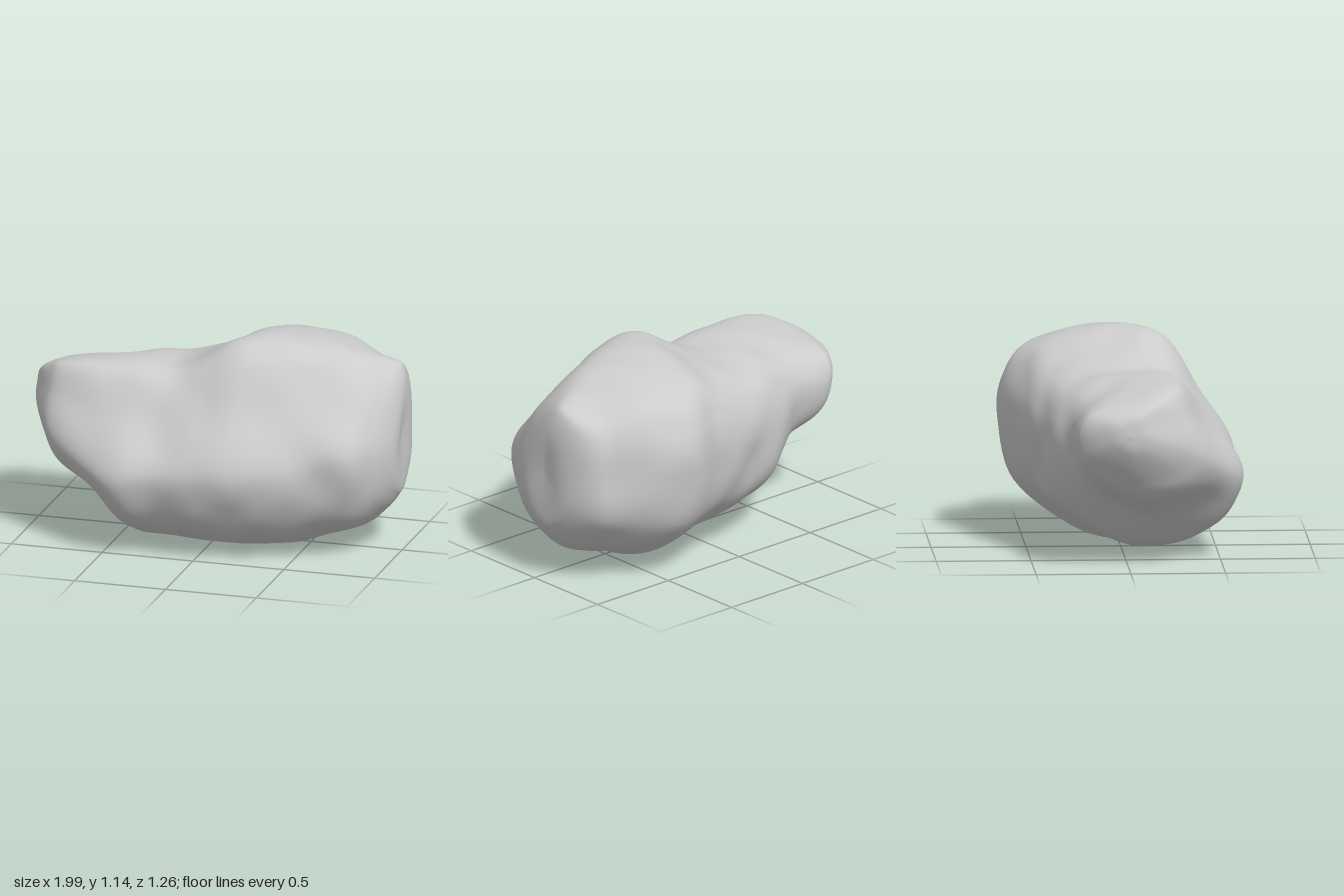
import * as THREE from 'three';

// Cross-sections along x:
// [x, bottom y, top y, back z, front z, front ridge z, height share of the widest front point]
const STATIONS = [
  [-1.0, 0.73, 0.73, 0.0, 0.0, 0.0, 0.4],
  [-0.98, 0.63, 0.83, -0.10, 0.12, 0.06, 0.4],
  [-0.89, 0.48, 0.905, -0.24, 0.30, 0.18, 0.36],
  [-0.8, 0.37, 0.94, -0.28, 0.41, 0.25, 0.33],
  [-0.6, 0.26, 0.965, -0.29, 0.54, 0.28, 0.32],
  [-0.4, 0.07, 0.98, -0.39, 0.625, 0.28, 0.4],
  [-0.2, 0.035, 0.985, -0.45, 0.60, 0.26, 0.45],
  [0.0, 0.02, 1.04, -0.51, 0.61, 0.26, 0.44],
  [0.2, 0.0, 1.13, -0.56, 0.60, 0.24, 0.43],
  [0.4, 0.0, 1.13, -0.63, 0.53, 0.19, 0.43],
  [0.6, 0.06, 1.10, -0.58, 0.455, 0.11, 0.45],
  [0.8, 0.13, 1.04, -0.45, 0.38, 0.02, 0.5],
  [0.9, 0.21, 1.01, -0.39, 0.27, -0.04, 0.46],
  [0.96, 0.28, 0.97, -0.30, 0.17, -0.08, 0.42],
  [0.99, 0.36, 0.84, -0.19, 0.07, -0.07, 0.4],
  [0.98, 0.62, 0.62, -0.06, -0.06, -0.06, 0.4],
];

// Local swellings (+) and hollows (-): [x, y, z, radius, amount]
const DENTS = [
  [-0.15, 0.98, 0.1, 0.15, -0.015],
  [0.09, 1.08, 0.12, 0.11, 0.025],
  [-0.15, 0.35, 0.6, 0.12, -0.012],
  [0.62, 0.5, 0.42, 0.14, -0.012],
  [0.78, 0.62, 0.33, 0.13, 0.01],
  [0.2, 0.3, 0.52, 0.15, -0.015],
  [0.15, 0.95, -0.45, 0.18, -0.012],
  [-0.1, 0.45, -0.45, 0.18, -0.015],
];

// Lopsided outline: sloping front, ridge, top falling to the back, steep back, rounded keel.
// The narrow end leans backwards; the broad end is fuller at its front slope and lower back.
function sectionPoints([x, y0, y1, back, front, ridge, waist]) {
  const h = y1 - y0, mid = (back + front) / 2, w = front - back;
  const lean = 1 - THREE.MathUtils.smoothstep(x, -0.85, -0.3);
  const full = THREE.MathUtils.smoothstep(x, 0.45, 0.9);
  const crest = 0.96 + 0.025 * lean;
  return [
    [front, waist],
    [front + (ridge - front) * (0.52 - 0.1 * full), waist + (crest - waist) * 0.58],
    [ridge, crest],
    [ridge - w * 0.15, 1.0],
    [mid + (back - mid) * 0.76, 0.9 - 0.07 * lean],
    [mid + (back - mid) * 0.95, 0.76 - 0.06 * lean],
    [back, 0.56 - 0.03 * lean],
    [mid + (back - mid) * (0.85 + 0.06 * full), 0.26 - 0.02 * full],
    [mid, 0.0],
    [mid + (front - mid) * (0.73 + 0.07 * lean), 0.13],
  ].map(([z, t]) => new THREE.Vector3(x, y0 + h * t, z));
}

// Adds broad dents and fine undulation, pushing outward from the long axis
function weather(p) {
  const out = new THREE.Vector3(p.x * 0.25, p.y - 0.6, p.z).normalize();
  let d = 0.006 * Math.sin(9 * p.x + 5 * p.y + 2) * Math.sin(8 * p.z - 6 * p.y)
    + 0.004 * Math.sin(17 * p.x - 9 * p.z) * Math.sin(15 * p.y + 7 * p.z + 1);
  for (const [x, y, z, r, a] of DENTS) {
    const q = (p.x - x) ** 2 + (p.y - y) ** 2 + (p.z - z) ** 2;
    d += a * Math.exp(-q / (r * r));
  }
  const fade = 1 - THREE.MathUtils.smoothstep(Math.abs(p.x), 0.85, 0.99);
  p.addScaledVector(out, d * fade);
  p.y = Math.max(p.y, 0);
  return p;
}

function rockGeometry(rows, cols) {
  const sections = STATIONS.map(sectionPoints);
  const rails = sections[0].map((_, j) =>
    new THREE.CatmullRomCurve3(sections.map((s) => s[j]), false, 'catmullrom', 0.5));
  const positions = [], indices = [];
  const ends = [sections[0][0], sections[sections.length - 1][0]];

  // Skin of rings between the two end points
  for (let i = 1; i < rows; i++) {
    const ring = new THREE.CatmullRomCurve3(rails.map((c) => c.getPoint(i / rows)), true, 'centripetal');
    for (let j = 0; j < cols; j++) positions.push(...weather(ring.getPoint(j / cols)).toArray());
  }
  for (let i = 0; i < rows - 2; i++) {
    for (let j = 0; j < cols; j++) {
      const a = i * cols + j, b = i * cols + (j + 1) % cols;
      indices.push(a, a + cols, b, b, a + cols, b + cols);
    }
  }

  // Close both ends with fans
  const last = (rows - 2) * cols, pole = (rows - 1) * cols;
  ends.forEach((p) => positions.push(p.x, p.y, p.z));
  for (let j = 0; j < cols; j++) {
    const k = (j + 1) % cols;
    indices.push(pole, j, k, pole + 1, last + k, last + j);
  }

  const geometry = new THREE.BufferGeometry();
  geometry.setAttribute('position', new THREE.Float32BufferAttribute(positions, 3));
  geometry.setIndex(indices);
  geometry.computeVertexNormals();
  return geometry;
}

export function createModel() {
  const group = new THREE.Group();
  group.name = 'rock';
  const boulder = new THREE.Mesh(
    rockGeometry(128, 100),
    new THREE.MeshStandardMaterial({ color: 0xcccccc }),
  );
  boulder.name = 'boulder';
  group.add(boulder);
  return group;
}
